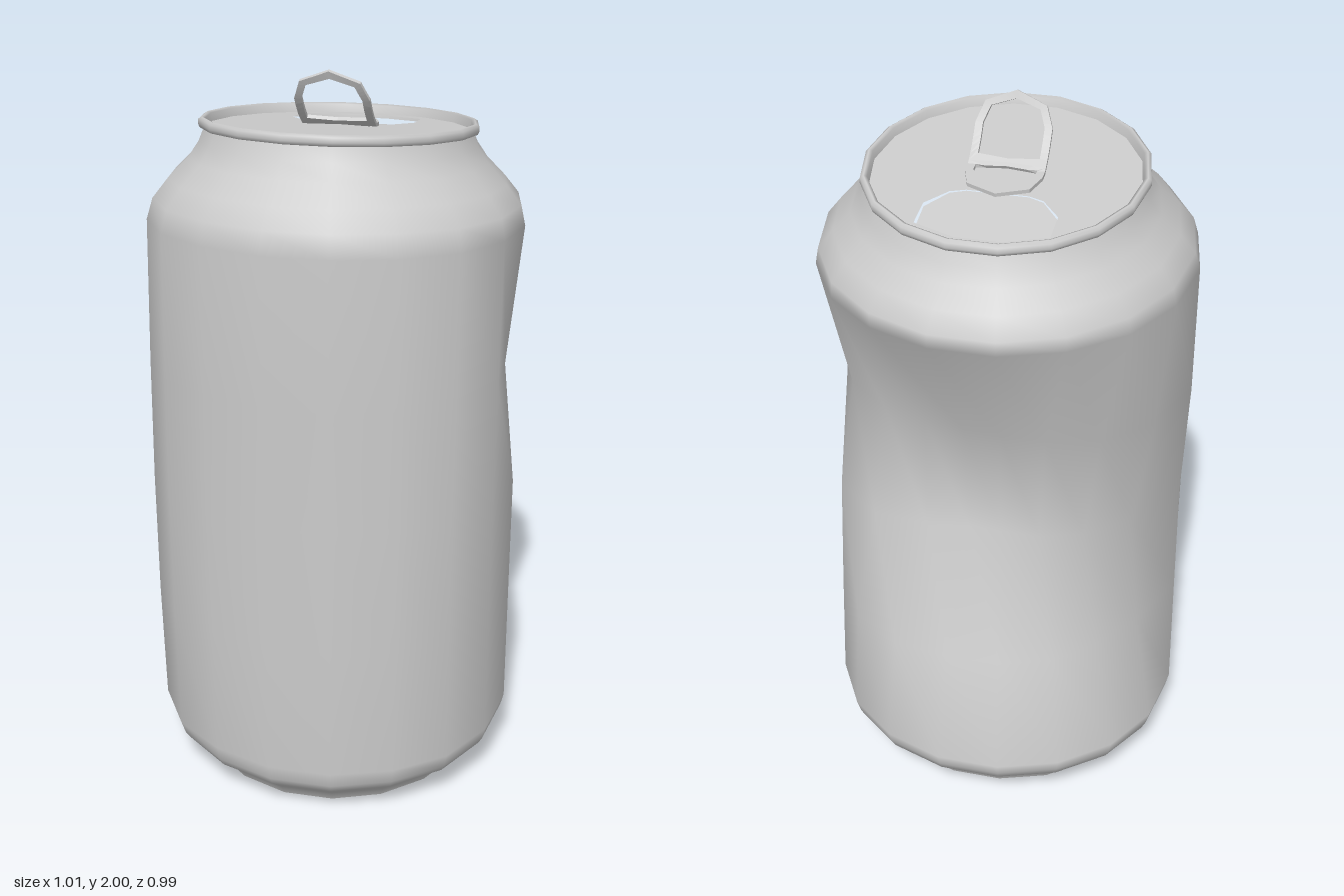
import * as THREE from 'three';

const SIDES = 18;
const grey = new THREE.MeshStandardMaterial({ color: 0xcccccc });
const greyThin = new THREE.MeshStandardMaterial({ color: 0xcccccc, side: THREE.DoubleSide });

function add(parent, name, geometry, material = grey) {
  const mesh = new THREE.Mesh(geometry, material);
  mesh.name = name;
  parent.add(mesh);
  return mesh;
}

function build(pos, index) {
  const g = new THREE.BufferGeometry();
  g.setAttribute('position', new THREE.Float32BufferAttribute(pos, 3));
  g.setIndex(index);
  g.computeVertexNormals();
  return g;
}

// Closed rings joined upward.
// Row: [height, tilt, radius, z offset, side bulge, radii across the back from +x to -x]
function loft(rows) {
  const pos = [], index = [];
  rows.forEach(([y, tilt, r, dz = 0, bulge = 0, back], i) => {
    for (let j = 0; j < SIDES; j++) {
      const a = THREE.MathUtils.degToRad(10 + 20 * j);
      const rad = back && j >= 4 && j <= 13 ? back[j - 4] : r;
      const x = rad * Math.sin(a), z = rad * Math.cos(a);
      const fromFront = Math.atan2(Math.abs(x), z);
      const push = bulge * Math.max(0, Math.cos(2 * fromFront - 2.44));
      pos.push(x, y + tilt * z, z + dz + push);
      if (i === rows.length - 1) continue;
      const k = (j + 1) % SIDES, p = i * SIDES, q = p + SIDES;
      index.push(p + j, p + k, q + j, p + k, q + k, q + j);
    }
  });
  return build(pos, index);
}

// Outline from its +x half, given as [x, z], mirrored, each side cut into n
function mirrored(half, n = 1) {
  const other = half.filter(p => p[0] > 0).reverse().map(([x, z]) => [-x, z]);
  const loop = [...half, ...other], pts = [];
  loop.forEach((p, i) => {
    const q = loop[(i + 1) % loop.length];
    for (let k = 0; k < n; k++) {
      const t = k / n;
      pts.push(new THREE.Vector2(p[0] + (q[0] - p[0]) * t, -(p[1] + (q[1] - p[1]) * t)));
    }
  });
  return pts;
}

// Flat-faced ring of sheet metal between two matching outlines, following the tab's bend
function band(outer, inner, place) {
  const pos = [], index = [], n = outer.length, T = 0.01;
  for (let i = 0; i < n; i++) {
    pos.push(...place(outer[i], T), ...place(inner[i], T), ...place(inner[i], 0), ...place(outer[i], 0));
    const p = i * 4, q = ((i + 1) % n) * 4;
    for (let k = 0; k < 4; k++) {
      const m = (k + 1) % 4;
      index.push(p + m, q + m, p + k, p + k, q + m, q + k);
    }
  }
  const g = build(pos, index).toNonIndexed();
  g.computeVertexNormals();
  return g;
}

export function createModel() {
  const can = new THREE.Group();
  can.name = 'crushedCan';

  // Wall, pushed in across the back and bulging at the sides
  add(can, 'body', loft([
    [0.03, -0.07, 0.402],
    [0.055, -0.07, 0.415],
    [0.075, -0.07, 0.435],
    [0.115, -0.07, 0.48, 0, 0.015],
    [0.14, -0.07, 0.492, 0, 0.025],
    [0.18, -0.06, 0.502, 0, 0.035],
    [0.53, -0.01, 0.503, 0, 0.055, [0.503, 0.49, 0.48, 0.46, 0.43, 0.425, 0.43, 0.42, 0.44, 0.495]],
    [0.88, 0, 0.503, 0, 0.06, [0.503, 0.475, 0.41, 0.32, 0.265, 0.268, 0.305, 0.35, 0.405, 0.49]],
    [1.22, 0, 0.503, 0, 0.05, [0.467, 0.425, 0.365, 0.315, 0.29, 0.3, 0.338, 0.405, 0.46, 0.503]],
    [1.6, 0.04, 0.503, 0.003, 0.025, [0.503, 0.5, 0.495, 0.492, 0.49, 0.49, 0.492, 0.497, 0.5, 0.503]],
    [1.65, 0.06, 0.49, 0, 0.015],
    [1.7, 0.07, 0.45, 0, 0.008],
    [1.75, 0.08, 0.4, -0.005],
    [1.79, 0.09, 0.372, -0.008],
    [1.83, 0.1, 0.355, -0.008],
  ]));

  // Rolled top rim
  add(can, 'rim', loft([
    [1.824, 0.1, 0.355, -0.007],
    [1.826, 0.1, 0.367, -0.007],
    [1.835, 0.1, 0.371, -0.007],
    [1.848, 0.1, 0.37, -0.007],
    [1.854, 0.1, 0.361, -0.007],
    [1.85, 0.1, 0.352, -0.007],
    [1.815, 0.1, 0.346, -0.007],
  ]));

  // Foot ring and hollow underside
  add(can, 'baseDome', loft([
    [0.17, -0.07, 0.0001],
    [0.16, -0.07, 0.12],
    [0.13, -0.07, 0.24],
    [0.085, -0.07, 0.33],
    [0.05, -0.07, 0.372],
  ].reverse().map(([y, tilt, r]) => [y, tilt, -r]).reverse()));
  add(can, 'footRing', loft([
    [0.05, -0.07, 0.372],
    [0.032, -0.07, 0.38],
    [0.03, -0.07, 0.402],
  ]));

  // Tilted lid with its opening
  const top = new THREE.Group();
  top.name = 'top';
  top.position.set(0, 1.828, -0.007);
  top.rotation.x = -0.1;
  can.add(top);

  const lidShape = new THREE.Shape();
  for (let j = 0; j < SIDES; j++) {
    const a = THREE.MathUtils.degToRad(10 + 20 * j);
    lidShape[j ? 'lineTo' : 'moveTo'](0.35 * Math.sin(a), 0.35 * Math.cos(a));
  }
  const mouth = mirrored([[0.06, -0.307], [0.17, -0.265], [0.17, -0.175], [0.12, -0.112], [0.08, -0.097]]);
  lidShape.holes.push(new THREE.Path(mouth));
  const lid = new THREE.ExtrudeGeometry(lidShape, { depth: 0.035, bevelEnabled: false });
  add(top, 'lid', lid.rotateX(-Math.PI / 2).translate(0, -0.035, 0));

  // Mouth panel, hinged at the tab side and pushed down at the back
  const panel = new THREE.ShapeGeometry(new THREE.Shape(mouth)).rotateX(-Math.PI / 2).translate(0, 0, 0.097);
  const flap = add(top, 'mouthPanel', panel, greyThin);
  flap.position.set(0, -0.003, -0.097);
  flap.rotation.x = -0.1;

  // Pull tab: a flat ring over the mouth and a finger ring bent upward
  const LENGTH = 0.225;
  const bend = new THREE.QuadraticBezierCurve(
    new THREE.Vector2(0, 0), new THREE.Vector2(0.09, 0.04), new THREE.Vector2(0.145, 0.15));
  const place = (p, h) => {
    const s = -p.y;
    if (s <= 0) return [p.x, h, s];
    const t = Math.min(1, s / LENGTH);
    const c = bend.getPointAt(t), d = bend.getTangentAt(t);
    return [p.x, c.y + h * d.x, c.x - h * d.y];
  };
  const tab = new THREE.Group();
  tab.name = 'pullTab';
  tab.position.y = 0.006;
  top.add(tab);
  add(tab, 'tabNose', band(
    mirrored([[0, -0.125], [0.08, -0.09], [0.1, -0.03], [0.1, 0.015], [0, 0.02]], 3),
    mirrored([[0, -0.1], [0.065, -0.075], [0.08, -0.02], [0.08, 0], [0, 0.007]], 3), place));
  add(tab, 'fingerRing', band(
    mirrored([[0, 0.02], [0.1, 0.015], [0.1, 0.13], [0.08, 0.19], [0, LENGTH]], 5),
    mirrored([[0, 0.032], [0.08, 0.04], [0.08, 0.13], [0.064, 0.178], [0, 0.202]], 5), place));

  return can;
}
